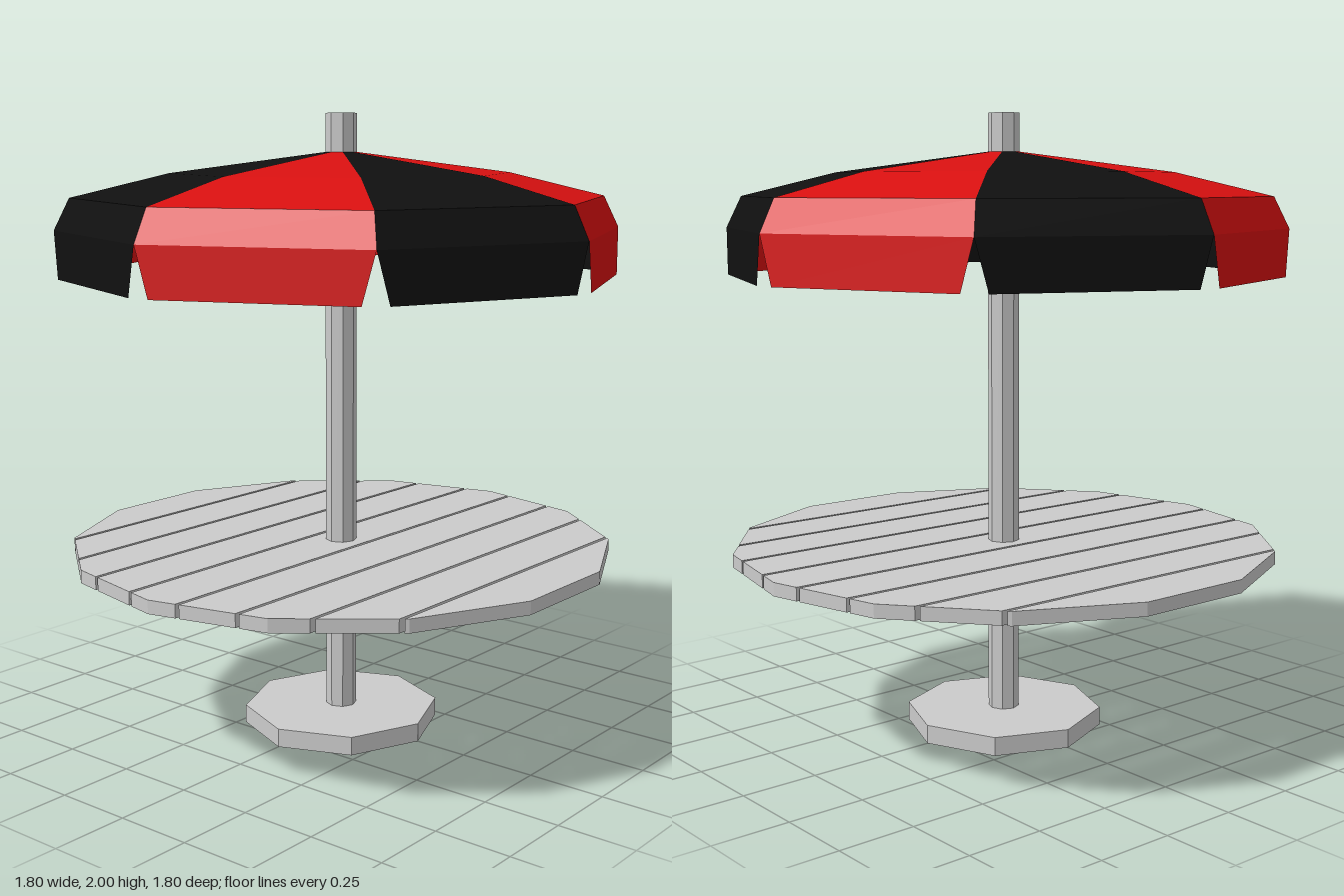
import * as THREE from 'three';

const material = (color, side = THREE.FrontSide) =>
  new THREE.MeshStandardMaterial({ color, side, flatShading: true });

function addMesh(parent, name, geometry, mat, y = 0) {
  const mesh = new THREE.Mesh(geometry, mat);
  mesh.name = name;
  mesh.position.y = y;
  parent.add(mesh);
  return mesh;
}

// Table top: a 14-sided disc sliced into parallel planks
function buildTableTop(mat) {
  const top = new THREE.Group();
  top.name = 'tableTop';
  const sides = 14, radius = 0.88, count = 9, gap = 0.012, thickness = 0.042;
  const rim = [];
  for (let i = 0; i <= sides / 2; i++) {
    const a = (i - (sides / 2 - 1) / 2) * (2 * Math.PI / sides);
    rim.push([Math.sin(a), Math.cos(a)]);
  }
  // Half outline from left to right, with corners at both z extremes
  const half = [];
  for (let i = -3; i <= 3; i++) {
    const a = i * 2 * Math.PI / sides;
    half.push(new THREE.Vector2(radius * Math.sin(a), radius * Math.cos(a)));
  }
  const depthAt = (x) => {
    let i = 0;
    while (i < half.length - 2 && half[i + 1].x < x) i++;
    const p = half[i], q = half[i + 1];
    return p.y + (q.y - p.y) * (x - p.x) / (q.x - p.x);
  };
  const xMax = half[half.length - 1].x;
  const pitch = (2 * xMax + gap) / count;

  for (let k = 0; k < count; k++) {
    const x0 = -xMax + k * pitch, x1 = x0 + pitch - gap;
    const edge = [
      new THREE.Vector2(x0, depthAt(x0)),
      ...half.filter((p) => p.x > x0 + 1e-4 && p.x < x1 - 1e-4),
      new THREE.Vector2(x1, depthAt(x1)),
    ];
    const mirrored = edge.map((p) => new THREE.Vector2(p.x, -p.y));
    const shape = new THREE.Shape([...mirrored, ...edge.reverse()]);
    const plank = new THREE.ExtrudeGeometry(shape, { depth: thickness, bevelEnabled: false });
    plank.rotateX(Math.PI / 2);
    addMesh(top, 'plank', plank, mat, 0.625);
  }
  return top;
}

// One canopy panel between two ribs, ending in a tapered hanging flap
function panelGeometry(index) {
  const profile = [[0.045, 1.88], [0.54, 1.815], [0.85, 1.74], [0.9, 1.64], [0.905, 1.49]];
  const a0 = index * Math.PI / 4, a1 = a0 + Math.PI / 4;
  const positions = [], indices = [];
  profile.forEach(([r, y], row) => {
    const left = new THREE.Vector3(r * Math.sin(a0), y, r * Math.cos(a0));
    const right = new THREE.Vector3(r * Math.sin(a1), y, r * Math.cos(a1));
    const inset = row === profile.length - 1 ? 0.06 : 0;
    positions.push(...left.clone().lerp(right, inset), ...right.clone().lerp(left, inset));
    if (row > 0) {
      const t = 2 * (row - 1), b = 2 * row;
      indices.push(b, b + 1, t + 1, b, t + 1, t);
    }
  });
  const geometry = new THREE.BufferGeometry();
  geometry.setAttribute('position', new THREE.Float32BufferAttribute(positions, 3));
  geometry.setIndex(indices);
  const flat = geometry.toNonIndexed();
  flat.computeVertexNormals();
  return flat;
}

export function createModel() {
  const model = new THREE.Group();
  model.name = 'parasolTable';
  const grey = material(0xcccccc);

  // Foot and pole
  addMesh(model, 'base', new THREE.CylinderGeometry(0.32, 0.32, 0.06, 8), grey, 0.03);
  addMesh(model, 'pole', new THREE.CylinderGeometry(0.05, 0.05, 2, 8), grey, 1);

  model.add(buildTableTop(grey));

  // Canopy of alternating panels
  const canopy = new THREE.Group();
  canopy.name = 'canopy';
  const red = material(0xd91010, THREE.DoubleSide);
  const black = material(0x101010, THREE.DoubleSide);
  for (let i = 0; i < 8; i++) {
    addMesh(canopy, i % 2 ? 'blackPanel' : 'redPanel', panelGeometry(i), i % 2 ? black : red);
  }
  model.add(canopy);
  return model;
}
